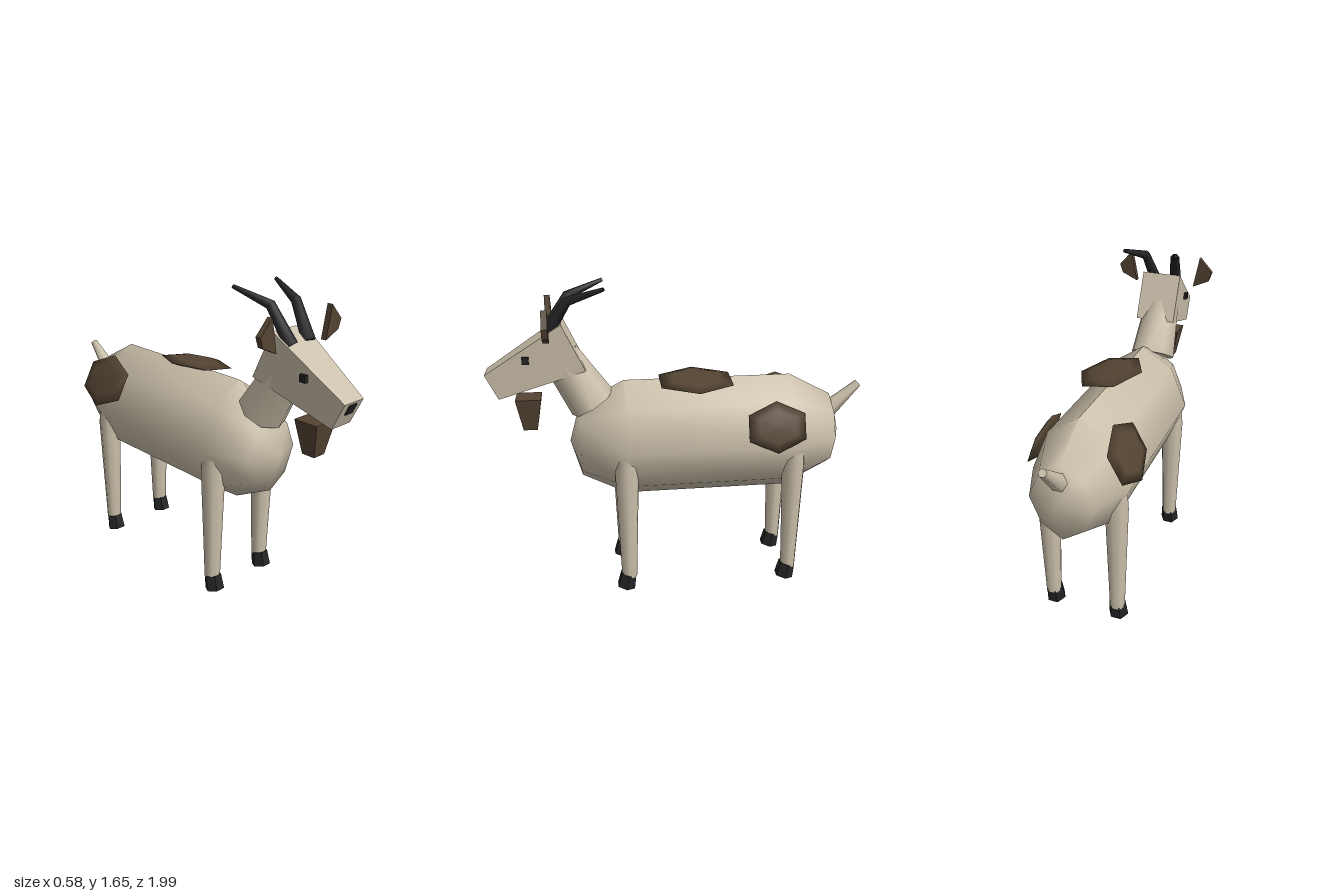
import * as THREE from 'three';
import { toCreasedNormals } from 'three/addons/utils/BufferGeometryUtils.js';

const V = (x, y, z) => new THREE.Vector3(x, y, z);

// Closed tube of polygon rings along a path, one radius per point
function loft(points, radii, sides) {
  const n = points.length, up = V(0, 1, 0), pos = [], index = [];
  const rings = [[0, 0], ...radii.map((r, i) => [i, r]), [n - 1, 0]];
  for (const [i, r] of rings) {
    const dir = points[Math.min(i + 1, n - 1)].clone().sub(points[Math.max(i - 1, 0)]).normalize();
    const q = new THREE.Quaternion().setFromUnitVectors(up, dir);
    for (let j = 0; j < sides; j++) {
      const a = (j / sides) * Math.PI * 2;
      const p = V(Math.cos(a) * r, 0, Math.sin(a) * r).applyQuaternion(q).add(points[i]);
      pos.push(p.x, p.y, p.z);
    }
  }
  for (let i = 0; i < rings.length - 1; i++) {
    for (let j = 0; j < sides; j++) {
      const k = (j + 1) % sides, lo = i * sides, hi = lo + sides;
      index.push(lo + j, hi + j, lo + k, hi + j, hi + k, lo + k);
    }
  }
  const g = new THREE.BufferGeometry();
  g.setAttribute('position', new THREE.Float32BufferAttribute(pos, 3));
  g.setIndex(index);
  return g;
}

// Moves every vertex by a rule
function reshape(g, rule) {
  const p = g.attributes.position, v = V(0, 0, 0);
  for (let i = 0; i < p.count; i++) {
    v.fromBufferAttribute(p, i);
    rule(v);
    p.setXYZ(i, v.x, v.y, v.z);
  }
  g.computeVertexNormals();
  return g;
}

export function createModel() {
  const model = new THREE.Group();
  const coat = new THREE.MeshStandardMaterial({ color: 0xcabfaa });
  coat.name = 'cream coat';
  const brown = new THREE.MeshStandardMaterial({ color: 0x544433 });
  brown.name = 'brown hair';
  const dark = new THREE.MeshStandardMaterial({ color: 0x242426 });
  dark.name = 'dark horn';

  const add = (name, geometry, material) => {
    const m = new THREE.Mesh(geometry, material);
    m.name = name;
    model.add(m);
    return m;
  };
  const addLoft = (name, points, radii, sides, material, crease = 1.1) =>
    add(name, toCreasedNormals(loft(points, radii, sides), crease), material);

  // Barrel body: eight-sided capsule, narrowed on the diagonals
  const body = loft([0.592, 0.535, 0.3, -0.59, -0.82, -0.88].reverse().map((z) => V(0, 0, z)),
    [0, 0.63, 1, 1, 0.63, 0], 8);
  reshape(body, (v) => {
    const pull = Math.abs(v.x * v.y) > 0.01 ? 0.93 : 1;
    v.set(v.x * pull * 0.256, 0.825 + v.y * pull * 0.325, v.z);
  });
  add('body', toCreasedNormals(body, 1.1), coat);

  addLoft('neck', [V(0, 1.035, 0.465), V(0, 1.29, 0.62)], [0.127, 0.1], 8, coat);
  addLoft('tail', [V(0, 0.91, -0.79), V(0, 1.083, -0.979)], [0.052, 0.021], 6, coat);

  // Head: wedge tapering to the muzzle
  add('head', reshape(new THREE.BoxGeometry(1, 1, 1), (v) => {
    const top = v.y > 0, front = v.z > 0;
    const [y, z] = front ? (top ? [1.22, 1] : [1.09, 0.938]) : (top ? [1.475, 0.606] : [1.235, 0.493]);
    v.set(Math.sign(v.x) * (front ? 0.066 : 0.109), y, z);
  }), coat);

  // Beard: block narrowing downwards
  add('beard', reshape(new THREE.BoxGeometry(1, 1, 1), (v) => {
    const top = v.y > 0;
    v.set(Math.sign(v.x) * (top ? 0.069 : 0.036), top ? 1.08 : 0.907,
      0.793 + Math.sign(v.z) * (top ? 0.066 : 0.036));
  }), brown);

  const nose = add('nose', new THREE.BoxGeometry(0.052, 0.055, 0.012), dark);
  nose.position.set(0, 1.183, 0.982);
  nose.rotation.x = 0.445;

  const earShape = new THREE.Shape([[0.203, 1.567], [0.17, 1.4], [0.258, 1.44], [0.275, 1.49]]
    .map(([x, y]) => new THREE.Vector2(x, y)));

  for (const [side, s] of [['left', 1], ['right', -1]]) {
    const eye = add(side + 'Eye', new THREE.BoxGeometry(0.03, 0.036, 0.034), dark);
    eye.position.set(s * 0.09, 1.296, 0.79);

    addLoft(side + 'Horn', [V(s * 0.06, 1.415, 0.68), V(s * 0.085, 1.585, 0.57), V(s * 0.145, 1.65, 0.39)],
      [0.034, 0.025, 0.01], 7, dark);

    // Ear: flat plate, turned round for the other side
    const ear = add(side + 'Ear', new THREE.ExtrudeGeometry(earShape, { depth: 0.03, bevelEnabled: false })
      .translate(0, 0, -0.015), brown);
    ear.position.z = 0.678;
    ear.rotation.y = s > 0 ? 0 : Math.PI;

    // Legs with slightly tilted hooves
    for (const [end, z] of [['Front', 0.305], ['Back', -0.588]]) {
      const x = s * 0.18;
      addLoft(side + end + 'Leg', [V(x, 0.08, z), V(x, 0.7, z), V(x, 0.8, z)],
        [0.041, 0.062, 0.055], 8, coat);
      addLoft(side + end + 'Hoof', [V(x, 0.016, z + 0.02), V(x, 0.095, z + 0.005)],
        [0.053, 0.046], 6, dark, 0.3);
    }
  }

  // Coat patches: hexagonal lenses laid against the body
  const lens = [[0, -0.02], [0.65, -0.016], [1, 0], [0.65, 0.016], [0, 0.02]]
    .map(([x, y]) => new THREE.Vector2(x, y));
  const patches = [
    ['backPatch', [0.045, 1.149, -0.075], 0.17, 0.217, -0.14],
    ['leftPatch', [0.243, 0.937, -0.475], 0.136, 0.173, -1.214],
    ['rightPatch', [-0.222, 0.985, -0.55], 0.153, 0.196, 1.078],
  ];
  for (const [name, at, width, length, tilt] of patches) {
    const patch = add(name, new THREE.LatheGeometry(lens, 6).rotateY(Math.PI / 2).scale(width, 1, length), brown);
    patch.position.set(...at);
    patch.rotation.z = tilt;
  }

  return model;
}
